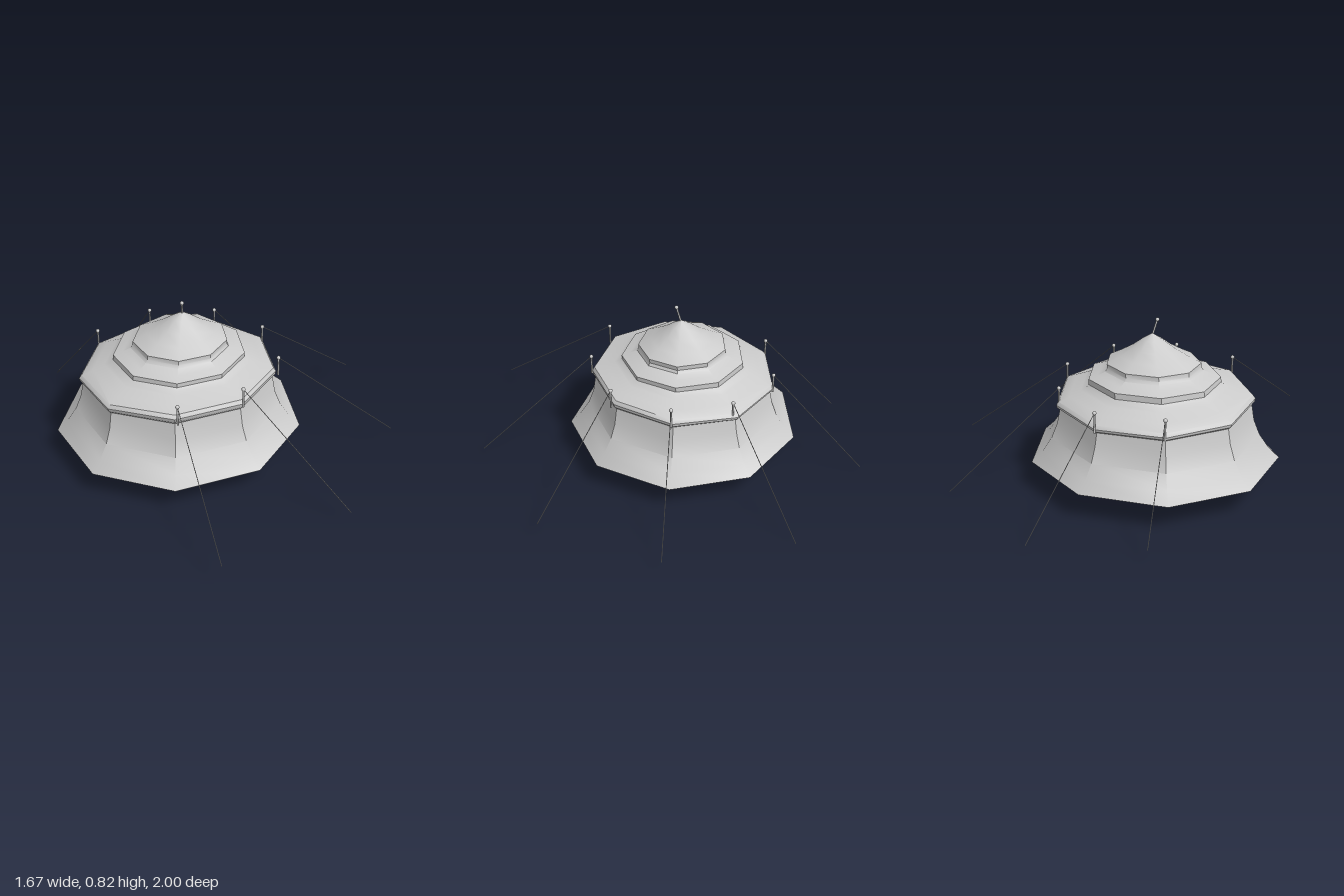
import * as THREE from 'three';
import { toCreasedNormals } from 'three/addons/utils/BufferGeometryUtils.js';

const material = new THREE.MeshStandardMaterial({ color: 0xcccccc });
const V = (p) => new THREE.Vector3(...p);

function addMesh(parent, name, geometry) {
  const mesh = new THREE.Mesh(geometry, material);
  mesh.name = name;
  parent.add(mesh);
  return mesh;
}

// Thin round bar between two points
function addBar(parent, name, a, b, radius, sides) {
  const dir = b.clone().sub(a);
  const mesh = addMesh(parent, name, new THREE.CylinderGeometry(radius, radius, dir.length(), sides));
  mesh.position.copy(a).addScaledVector(dir, 0.5);
  mesh.quaternion.setFromUnitVectors(new THREE.Vector3(0, 1, 0), dir.normalize());
}

function addBead(parent, name, p) {
  addMesh(parent, name, new THREE.SphereGeometry(0.01, 12, 8)).position.copy(p);
}

// Nine-sided canvas: floor, flared wall, rolled eave, two roof steps, peak
function tentGeometry() {
  const profile = [
    [0, 0.115], [0.627, 0.125], [0.572, 0.178], [0.525, 0.245], [0.495, 0.32],
    [0.48, 0.4], [0.494, 0.412], [0.497, 0.428], [0.484, 0.445],
    [0.43, 0.464], [0.372, 0.487], [0.345, 0.498], [0.331, 0.51], [0.33, 0.535],
    [0.285, 0.55], [0.246, 0.566], [0.236, 0.58], [0.236, 0.602],
    [0.17, 0.635], [0.105, 0.672], [0.05, 0.712], [0, 0.742],
  ].map(([r, y]) => new THREE.Vector2(r, y));
  const geometry = new THREE.LatheGeometry(profile, 9, Math.PI / 2);
  const pos = geometry.attributes.position;
  for (let i = 0; i < pos.count; i++) {
    const x = pos.getX(i), y = pos.getY(i), z = pos.getZ(i);
    const lean = Math.max(0, (y - 0.44) / 0.3); // the top leans slightly
    const tilt = 0.045 * z * Math.max(0, 1 - Math.abs(y - 0.44) / 0.1); // the eave dips at the back
    pos.setXYZ(i, x - 0.248 + 0.022 * lean, y + tilt, z * 0.965 - 0.05 + 0.014 * lean);
  }
  return toCreasedNormals(geometry, 0.6);
}

export function createModel() {
  const model = new THREE.Group();
  model.name = 'tent';
  addMesh(model, 'canvas', tentGeometry());

  // Leaning finial on the peak
  const finial = new THREE.Group();
  finial.name = 'finial';
  const tip = V([-0.24, 0.805, -0.01]);
  addBar(finial, 'finialPole', V([-0.225, 0.725, -0.037]), tip, 0.005, 8);
  addBead(finial, 'finialBead', tip);
  model.add(finial);

  // Eave posts with guy ropes: [post top, rope end]
  const guys = [
    [[0.245, 0.507, -0.042], [0.832, 0.062, -0.07]],
    [[0.13, 0.497, -0.335], [0.557, 0, -0.683]],
    [[-0.16, 0.49, -0.52], [-0.063, 0.02, -1]],
    [[-0.49, 0.495, -0.463], [-0.587, 0.055, -0.85]],
    [[0.137, 0.525, 0.272], [0.655, 0.078, 0.553]],
    [[-0.16, 0.53, 0.423], [0.09, 0.073, 0.97]],
    [[-0.49, 0.525, 0.383], [-0.625, 0.11, 1]],
  ];
  for (const [top, end] of guys) {
    const guy = new THREE.Group();
    guy.name = 'guyLine';
    const head = V(top);
    const foot = head.clone().add(new THREE.Vector3(0, -0.1, 0));
    addBar(guy, 'eavePost', foot, head, 0.005, 8);
    addBead(guy, 'postBead', head);
    addBar(guy, 'rope', head, V(end), 0.002, 6);
    model.add(guy);
  }
  return model;
}
